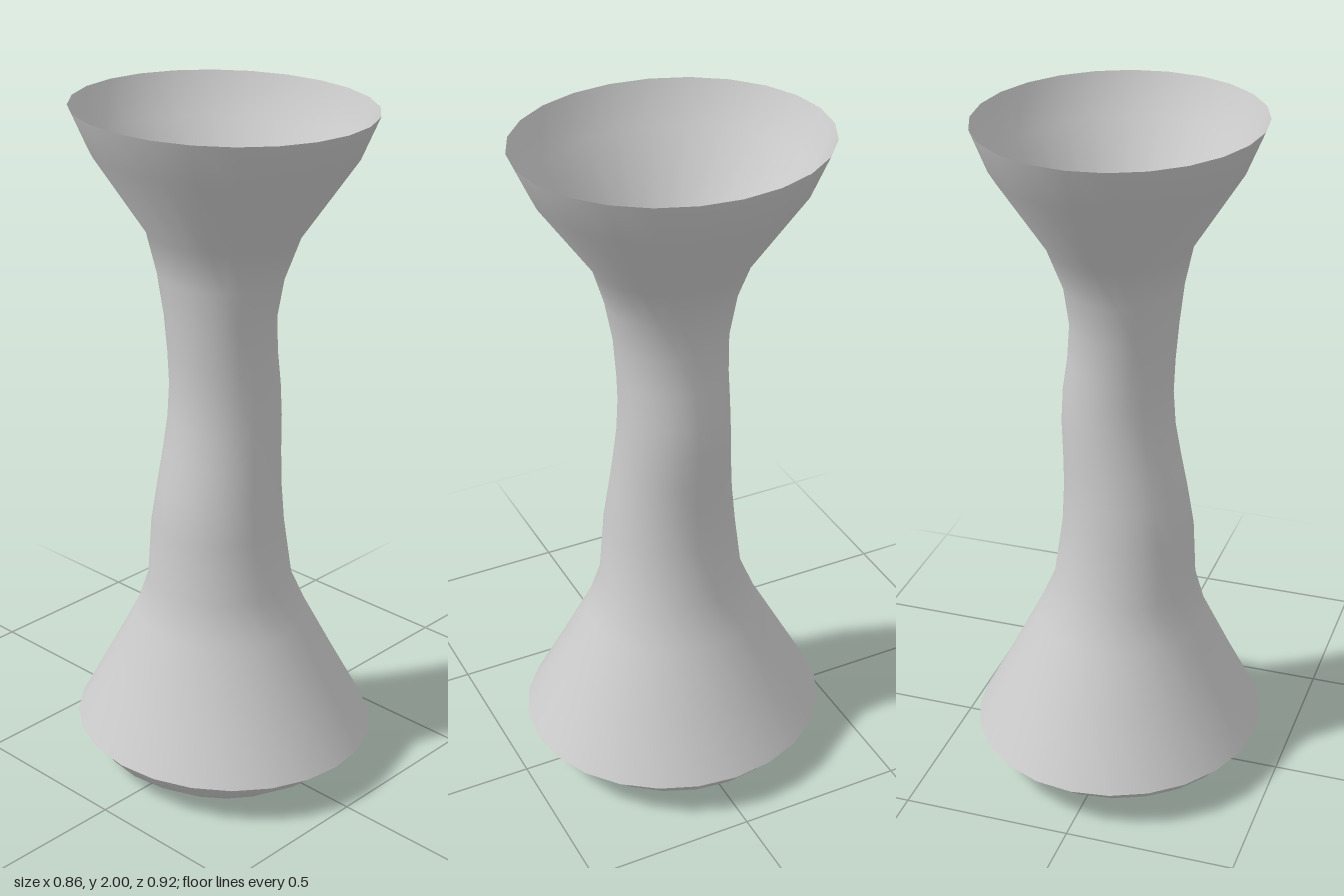
import * as THREE from 'three';
import { mergeVertices } from 'three/addons/utils/BufferGeometryUtils.js';

const SIDES = 24;
const material = new THREE.MeshStandardMaterial({ color: 0xcccccc, side: THREE.DoubleSide });

// Smooth, seamless surface of revolution; shape(v) may move each vertex.
function turned(name, points, shape) {
  let geometry = new THREE.LatheGeometry(points.map(([r, y]) => new THREE.Vector2(r, y)), SIDES);
  const pos = geometry.attributes.position;
  const v = new THREE.Vector3();
  for (let i = 0; i < pos.count; i++) {
    shape(v.fromBufferAttribute(pos, i), Math.floor(i % points.length));
    pos.setXYZ(i, v.x, v.y, v.z);
  }
  geometry.deleteAttribute('uv');
  geometry.deleteAttribute('normal');
  geometry = mergeVertices(geometry, 1e-5);
  geometry.computeVertexNormals();
  const mesh = new THREE.Mesh(geometry, material);
  mesh.name = name;
  return mesh;
}

// Body sections: height, left edge x, right edge x, half depth in z
const SECTIONS = [
  [0.12, -0.43, 0.43, 0.458],
  [0.30, -0.34, 0.335, 0.36],
  [0.48, -0.257, 0.245, 0.262],
  [0.60, -0.225, 0.193, 0.214],
  [0.78, -0.217, 0.167, 0.195],
  [0.90, -0.197, 0.162, 0.18],
  [1.00, -0.177, 0.164, 0.171],
  [1.10, -0.159, 0.168, 0.164],
  [1.20, -0.152, 0.163, 0.16],
  [1.30, -0.156, 0.148, 0.16],
  [1.41, -0.165, 0.14, 0.165],
  [1.53, -0.178, 0.155, 0.188],
  [1.65, -0.203, 0.202, 0.227],
  [1.88, -0.348, 0.35, 0.388],
  [2.00, -0.398, 0.396, 0.442],
];

export function createModel() {
  const group = new THREE.Group();

  // Flared, swaying hollow body with oval sections
  group.add(turned('body', SECTIONS.map(([y, , , depth]) => [depth, y]), (v, ring) => {
    const [, left, right, depth] = SECTIONS[ring];
    v.x = (left + right) / 2 + v.x * (right - left) / 2 / depth;
  }));

  // Shallow bowl below the skirt, and its flat floor with a drain hole
  const oval = (v) => { v.x *= 0.98; };
  group.add(turned('baseBowl', [[0.307, 0], [0.386, 0.058], [0.424, 0.12]], oval));
  group.add(turned('baseFloor', [[0.042, 0], [0.307, 0]], oval));
  return group;
}
